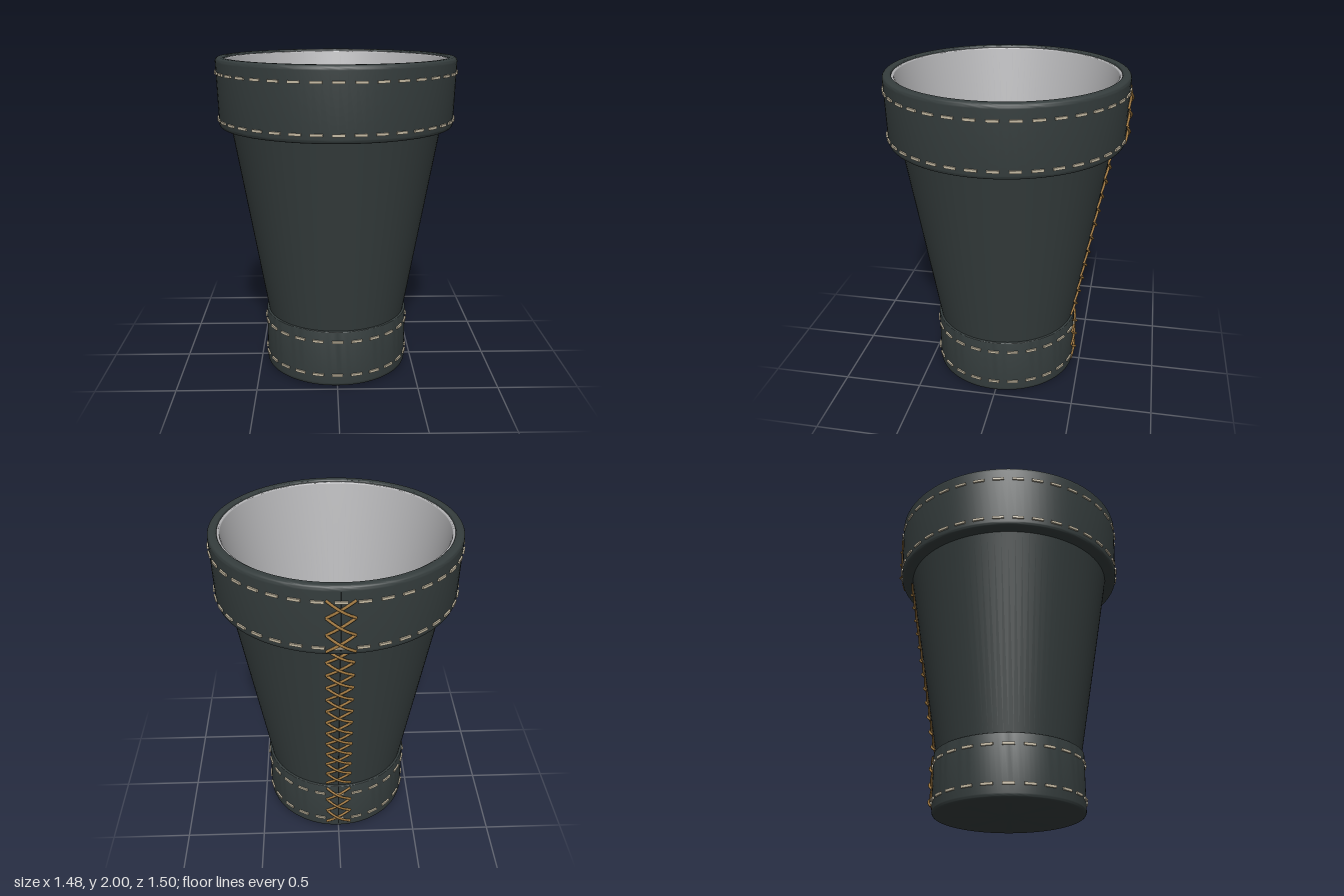
import * as THREE from 'three';
import { mergeGeometries, toCreasedNormals } from 'three/addons/utils/BufferGeometryUtils.js';

const SEGMENTS = 96;

// Profile of [radius, height, fillet] corners; corners with a fillet are rounded.
function roundedProfile(corners) {
  const out = [];
  corners.forEach(([r, y, fillet = 0], i) => {
    const p = new THREE.Vector2(r, y);
    if (!fillet) { out.push(p); return; }
    const toward = (c) => new THREE.Vector2(c[0], c[1]).sub(p).setLength(fillet).add(p);
    const curve = new THREE.QuadraticBezierCurve(toward(corners[i - 1]), p, toward(corners[i + 1]));
    out.push(...curve.getPoints(6));
  });
  return out;
}

function turned(name, corners, material) {
  const geometry = toCreasedNormals(new THREE.LatheGeometry(roundedProfile(corners), SEGMENTS), 0.6);
  const mesh = new THREE.Mesh(geometry, material);
  mesh.name = name;
  return mesh;
}

// Outer radius of the cup at a height
function outerRadius(y) {
  if (y < 0.37) return 0.46;
  if (y < 1.58) return 0.445 + (y - 0.37) * 0.17;
  return 0.722 + (y - 1.58) * 0.03;
}

// Point on the back of the cup, x sideways from the seam and lift off the surface
function backPoint(x, y, lift) {
  const r = outerRadius(y) + lift;
  const a = x / r;
  return new THREE.Vector3(Math.sin(a) * r, y, -Math.cos(a) * r);
}

// One row of dashes around a band
function stitchRow(name, y, count, material) {
  const dashes = [];
  const r = outerRadius(y);
  for (let i = 0; i < count; i++) {
    const dash = new THREE.BoxGeometry(0.07, 0.015, 0.016);
    dash.translate(0, y, r + 0.001);
    dash.rotateY((i / count) * Math.PI * 2);
    dashes.push(dash);
  }
  const mesh = new THREE.Mesh(mergeGeometries(dashes), material);
  mesh.name = name;
  return mesh;
}

// A column of crossed laces; one strand of each cross lies over the other
function crossLacing(name, y0, y1, count, material) {
  const strands = [];
  const step = (y1 - y0) / count;
  const half = 0.078;
  for (let i = 0; i < count; i++) {
    for (const side of [-1, 1]) {
      const points = [];
      for (let k = 0; k <= 6; k++) {
        const t = k / 6;
        const lift = Math.sin(t * Math.PI) * (side > 0 ? 0.018 : 0.006) + 0.002;
        points.push(backPoint(side * half * (2 * t - 1), y0 + (i + t) * step, lift));
      }
      strands.push(new THREE.TubeGeometry(new THREE.CatmullRomCurve3(points), 10, 0.008, 6));
    }
  }
  const mesh = new THREE.Mesh(mergeGeometries(strands), material);
  mesh.name = name;
  return mesh;
}

// Thin dark join line behind the lacing
function seamStrip(name, y0, y1, material) {
  const a = backPoint(0, y0, 0);
  const b = backPoint(0, y1, 0);
  const mesh = new THREE.Mesh(new THREE.BoxGeometry(0.008, a.distanceTo(b), 0.004), material);
  mesh.position.copy(a).add(b).multiplyScalar(0.5);
  mesh.rotation.x = Math.atan2(b.z - a.z, b.y - a.y);
  mesh.name = name;
  return mesh;
}

export function createModel() {
  const make = (name, color) => {
    const m = new THREE.MeshStandardMaterial({ color });
    m.name = name;
    return m;
  };
  const leather = make('dark leather', 0x353d3d);
  const liningGrey = make('grey lining', 0xb4b4b6);
  const cream = make('cream thread', 0xc4b9a2);
  const tan = make('tan lace', 0xa07840);
  const black = make('seam black', 0x141818);

  const cup = new THREE.Group();
  cup.name = 'cup';
  cup.position.z = 0.008;

  // Tapered body with a band at the foot and a wider one at the rim
  cup.add(turned('body', [[0.43, 0.28], [0.445, 0.37], [0.651, 1.58], [0.66, 1.63]], leather));
  cup.add(turned('footBand',
    [[0, 0], [0.46, 0, 0.025], [0.46, 0.37, 0.006], [0.425, 0.37]], leather));
  cup.add(turned('rimBand',
    [[0.63, 1.58], [0.722, 1.58, 0.025], [0.735, 2, 0.028], [0.68, 2, 0.014], [0.68, 1.93]], leather));

  // Inside: lining with a small lip, and the floor
  cup.add(turned('lining',
    [[0.682, 1.94], [0.682, 1.987, 0.006], [0.666, 1.987, 0.008], [0.29, 0.04]], liningGrey));
  cup.add(turned('floor', [[0.31, 0.045], [0, 0.045]], leather));

  // Dashed stitching along the band edges
  cup.add(stitchRow('rimStitchTop', 1.91, 38, cream));
  cup.add(stitchRow('rimStitchBottom', 1.63, 38, cream));
  cup.add(stitchRow('footStitchTop', 0.303, 24, cream));
  cup.add(stitchRow('footStitchBottom', 0.078, 24, cream));

  // Laced seam up the back
  const sections = [
    ['foot', 0.045, 0.355, 3, 0.03, 0.369],
    ['body', 0.39, 1.57, 12, 0.375, 1.575],
    ['rim', 1.605, 1.92, 3, 1.61, 1.97],
  ];
  for (const [part, y0, y1, count, s0, s1] of sections) {
    cup.add(crossLacing(part + 'Lacing', y0, y1, count, tan));
    cup.add(seamStrip(part + 'Seam', s0, s1, black));
  }

  const model = new THREE.Group();
  model.name = 'leatherCup';
  model.add(cup);
  return model;
}
